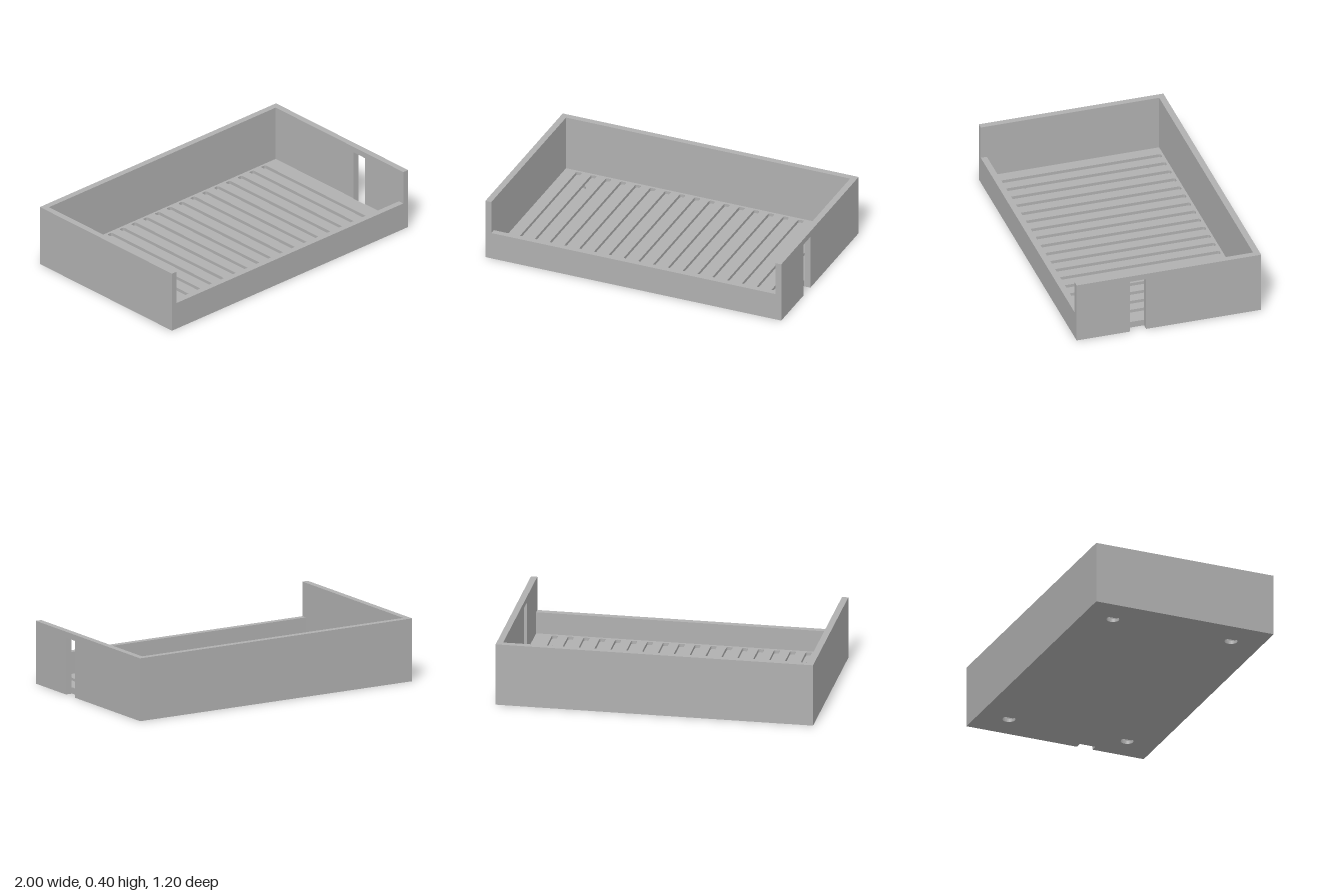
import * as THREE from 'three';

const grey = new THREE.MeshStandardMaterial({ color: 0xb0b0b0 });
grey.name = 'grey plastic';

const T = 0.04;          // wall and floor thickness
const HX = 1, HZ = 0.6;  // half width and half depth
const DOOR = { z0: 0.148, z1: 0.253, top: 0.362 };

function polygon(points) {
  return new THREE.Shape(points.map(([x, y]) => new THREE.Vector2(x, y)));
}

function addMesh(group, name, geometry) {
  const mesh = new THREE.Mesh(geometry, grey);
  mesh.name = name;
  group.add(mesh);
}

function addBox(group, name, w, h, d, x, z) {
  addMesh(group, name, new THREE.BoxGeometry(w, h, d).translate(x, h / 2, z));
}

// Rounded rectangular hole in plan
function slot(cx, w, y0, y1, r) {
  const a = cx - w / 2, b = cx + w / 2;
  const p = new THREE.Path();
  p.moveTo(a + r, y0);
  p.lineTo(b - r, y0);
  p.absarc(b - r, y0 + r, r, -Math.PI / 2, 0);
  p.absarc(b - r, y1 - r, r, 0, Math.PI / 2);
  p.absarc(a + r, y1 - r, r, Math.PI / 2, Math.PI);
  p.absarc(a + r, y0 + r, r, Math.PI, Math.PI * 1.5);
  return p;
}

// Half-thickness floor sheet, drawn as (x, -z), with a notch at the doorway
function floorSheet(holes, y) {
  const x = HX - T, z = HZ - T, n = x - 0.005;
  const shape = polygon([
    [-x, -z], [x, -z], [x, -DOOR.z1], [n, -DOOR.z1],
    [n, -DOOR.z0], [x, -DOOR.z0], [x, z], [-x, z],
  ]);
  shape.holes = holes;
  return new THREE.ExtrudeGeometry(shape, { depth: T / 2, bevelEnabled: false, curveSegments: 16 })
    .rotateX(-Math.PI / 2).translate(0, y, 0);
}

export function createModel() {
  const model = new THREE.Group();
  model.name = 'tray';

  // Floor: round pockets below, long grooves above; they break through where they overlap
  const pockets = [];
  for (const x of [-0.8, 0.8]) for (const z of [-0.4, 0.4]) {
    pockets.push(new THREE.Path().absarc(x, z, 0.04, 0, Math.PI * 2));
  }
  const grooves = [];
  for (let i = 0; i < 18; i++) grooves.push(slot(-0.863 + i * 0.1, 0.038, -0.542, 0.544, 0.012));
  addMesh(model, 'floorUnderside', floorSheet(pockets, 0));
  addMesh(model, 'groovedFloor', floorSheet(grooves, T / 2));

  // Full-height back, low front and plain side wall
  addBox(model, 'backWall', 2 * (HX - T), 0.4, T, 0, -HZ + T / 2);
  addBox(model, 'frontWall', 2 * (HX - T), 0.18, T, 0, HZ - T / 2);
  addBox(model, 'rightWall', T, 0.4, 2 * HZ, -HX + T / 2, 0);

  // Side wall with the doorway, drawn as (-z, y)
  const wall = polygon([
    [-HZ, 0], [-DOOR.z1, 0], [-DOOR.z1, DOOR.top], [-DOOR.z0, DOOR.top],
    [-DOOR.z0, 0], [HZ, 0], [HZ, 0.4], [-HZ, 0.4],
  ]);
  addMesh(model, 'leftWallWithDoorway',
    new THREE.ExtrudeGeometry(wall, { depth: T, bevelEnabled: false })
      .rotateY(Math.PI / 2).translate(HX - T, 0, 0));

  return model;
}
